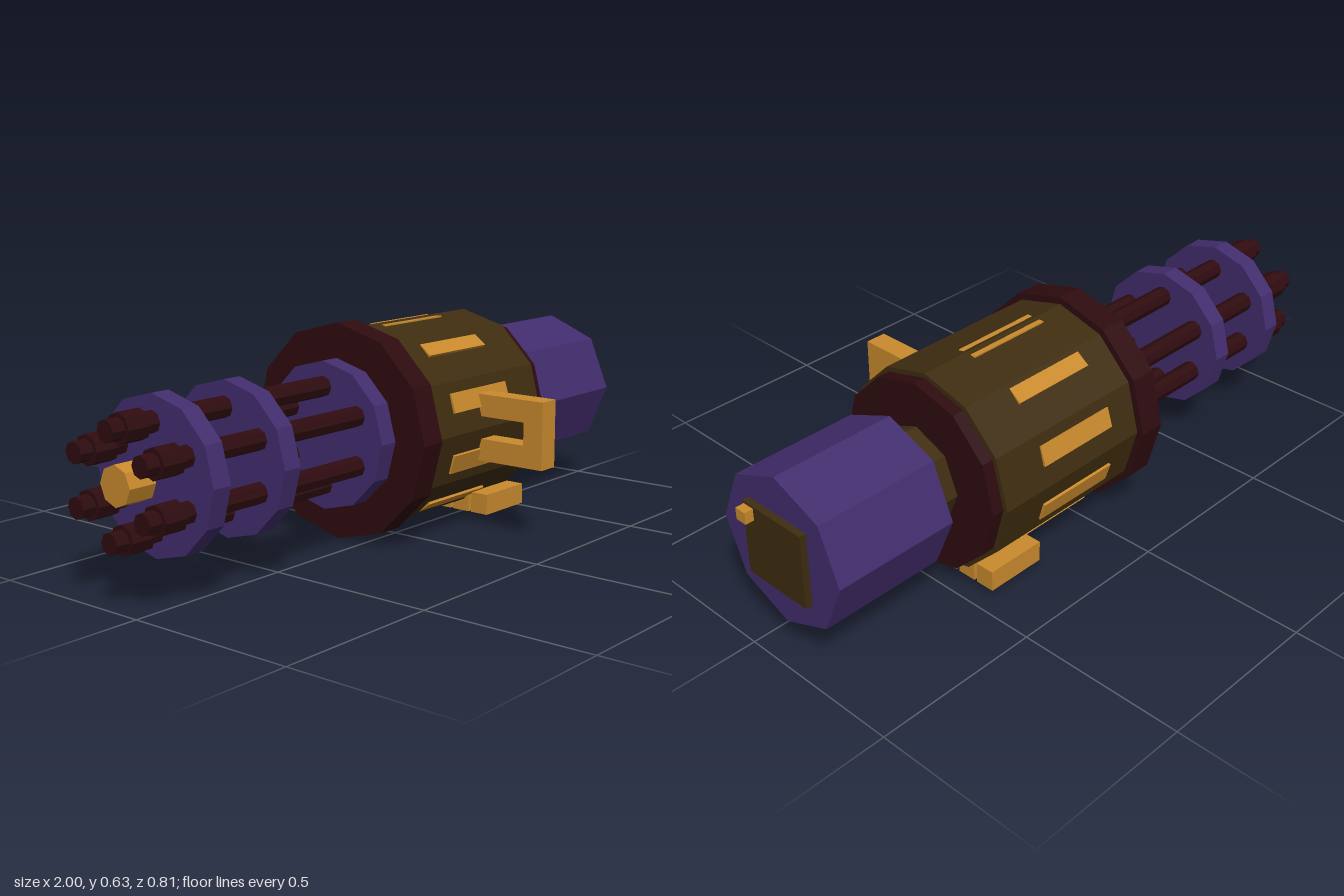
import * as THREE from 'three';

const AXIS_Y = 0.317, AXIS_Z = -0.09;

function mat(name, color) {
  const m = new THREE.MeshStandardMaterial({ color });
  m.name = name;
  return m;
}

export function createModel() {
  const maroon = mat('dark maroon', 0x2e0b0f);
  const olive = mat('olive brown', 0x3f2d10);
  const purple = mat('purple', 0x432d6e);
  const orange = mat('orange', 0xc98a2d);

  const model = new THREE.Group();
  model.name = 'rotaryGun';
  // everything in this group is placed relative to the long axis
  const body = new THREE.Group();
  body.name = 'body';
  body.position.set(0, AXIS_Y, AXIS_Z);
  model.add(body);

  function add(parent, name, geometry, material) {
    const mesh = new THREE.Mesh(geometry, material);
    mesh.name = name;
    parent.add(mesh);
    return mesh;
  }

  // faceted cylinder along x, with a corner pointing up
  function drum(parent, name, x0, x1, r, sides, material, y = 0, z = 0) {
    const g = new THREE.CylinderGeometry(r, r, x1 - x0, sides).rotateZ(-Math.PI / 2).toNonIndexed();
    g.computeVertexNormals();
    const mesh = add(parent, name, g, material);
    mesh.position.set((x0 + x1) / 2, y, z);
    return mesh;
  }

  // box given by its limits
  function box(parent, name, x0, x1, y0, y1, z0, z1, material) {
    const mesh = add(parent, name, new THREE.BoxGeometry(x1 - x0, y1 - y0, z1 - z0), material);
    mesh.position.set((x0 + x1) / 2, (y0 + y1) / 2, (z0 + z1) / 2);
    return mesh;
  }

  // housing with its two collars
  drum(body, 'frontCollar', -0.15, -0.07, 0.316, 12, maroon);
  drum(body, 'housing', -0.07, 0.45, 0.295, 12, olive);
  drum(body, 'rearCollar', 0.45, 0.487, 0.281, 12, maroon);

  // motor behind the housing
  drum(body, 'neck', 0.487, 0.575, 0.15, 8, olive);
  drum(body, 'motor', 0.575, 0.952, 0.223, 8, purple);
  box(body, 'rearPanel', 0.952, 0.972, -0.11, 0.111, -0.11, 0.111, olive);
  box(body, 'rearButton', 0.972, 0.998, 0.07, 0.105, 0.07, 0.106, orange);

  // ten vents around the housing
  for (let i = 0; i < 10; i++) {
    const vent = new THREE.Group();
    vent.name = 'vent';
    vent.rotation.x = i * Math.PI / 5;
    body.add(vent);
    box(vent, 'ventPlate', 0.03, 0.297, 0.282, 0.2915, -0.029, 0.029, orange);
  }

  // barrel clamps
  for (const x of [-0.21, -0.597, -0.848]) drum(body, 'barrelClamp', x, x + 0.058, 0.215, 12, purple);

  // six barrels with muzzle rings
  for (let i = 0; i < 6; i++) {
    const a = i * Math.PI / 3;
    const y = 0.142 * Math.cos(a), z = 0.142 * Math.sin(a);
    drum(body, 'barrel', -1, -0.15, 0.03, 8, maroon, y, z);
    drum(body, 'muzzleRing', -0.96, -0.888, 0.042, 8, maroon, y, z);
  }
  drum(body, 'muzzleCore', -0.975, -0.89, 0.055, 8, orange);

  // side handle
  const handle = new THREE.Group();
  handle.name = 'handle';
  model.add(handle);
  box(handle, 'handleGrip', 0.155, 0.22, 0.22, 0.417, 0.343, 0.407, orange);
  for (const y of [0.22, 0.352]) box(handle, 'handleArm', 0.155, 0.22, y, y + 0.065, 0.15, 0.343, orange);

  // belt of seven cartridges under the housing
  const belt = new THREE.Group();
  belt.name = 'cartridgeBelt';
  model.add(belt);
  for (let i = -3; i <= 3; i++) {
    const z = AXIS_Z + i * 0.0683;
    box(belt, 'cartridge', 0.26, 0.447, 0.025, 0.087, z - 0.029, z + 0.029, orange);
  }

  return model;
}
